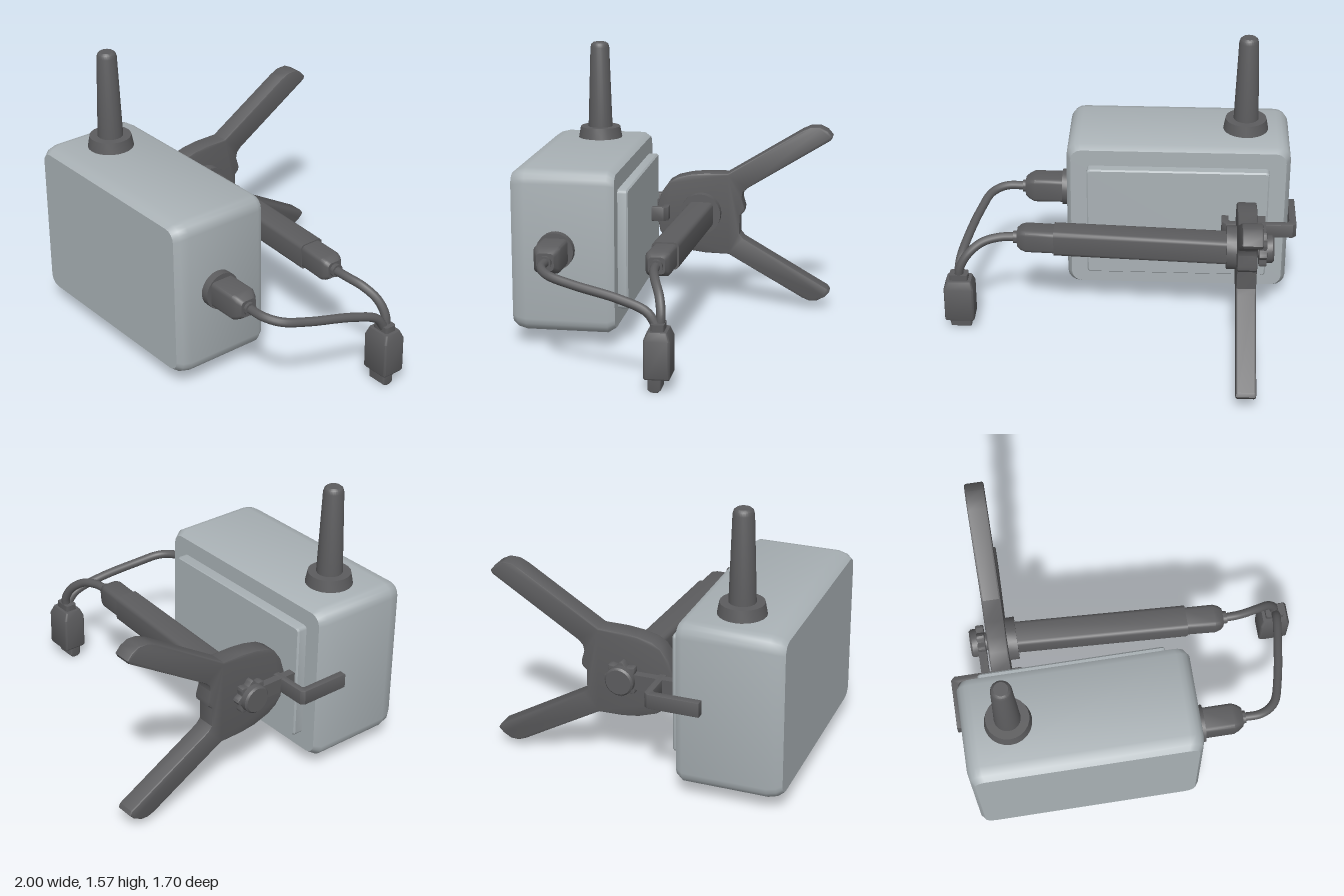
import * as THREE from 'three';
import { toCreasedNormals } from 'three/addons/utils/BufferGeometryUtils.js';

const shell = new THREE.MeshStandardMaterial({ color: 0xa9b1b5 });
shell.name = 'light grey shell';
const rubber = new THREE.MeshStandardMaterial({ color: 0x5c5c5e });
rubber.name = 'dark grey rubber';

// Rounded rectangle outline, counter-clockwise, as [a, b] pairs
function roundRect(ha, hb, r, seg) {
  const pts = [];
  [[1, 1], [-1, 1], [-1, -1], [1, -1]].forEach(([sa, sb], k) => {
    for (let i = 0; i <= seg; i++) {
      const t = (k + i / seg) * Math.PI / 2;
      pts.push([sa * (ha - r) + r * Math.cos(t), sb * (hb - r) + r * Math.sin(t)]);
    }
  });
  return pts;
}

// Loft rounded rectangles along an axis: 'x' (a=y, b=z), 'y' (a=z, b=x) or 'z' (a=x, b=y).
// Each section is [position, centreA, centreB, halfA, halfB, radius].
function loft(axis, sections, seg = 3, crease = 0.6) {
  const place = { x: (a, b, c) => [c, a, b], y: (a, b, c) => [b, c, a], z: (a, b, c) => [a, b, c] }[axis];
  const pos = [], index = [], n = 4 * (seg + 1), last = sections.length - 1;
  for (const [c, ca, cb, ha, hb, r] of sections)
    for (const [a, b] of roundRect(ha, hb, r, seg)) pos.push(...place(ca + a, cb + b, c));
  for (let i = 0; i < last; i++)
    for (let j = 0; j < n; j++) {
      const p = i * n + j, q = i * n + (j + 1) % n;
      index.push(p, q, q + n, p, q + n, p + n);
    }
  for (let j = 1; j < n - 1; j++) {
    index.push(0, j + 1, j);
    index.push(last * n, last * n + j, last * n + j + 1);
  }
  const g = new THREE.BufferGeometry();
  g.setAttribute('position', new THREE.Float32BufferAttribute(pos, 3));
  g.setIndex(index);
  return toCreasedNormals(g, crease);
}

// Lathe profile of [radius, height] pairs around y
const lathe = (profile) =>
  toCreasedNormals(new THREE.LatheGeometry(profile.map(([r, y]) => new THREE.Vector2(r, y)), 24), 0.6);

const extrude = (pts, depth, bevel) =>
  toCreasedNormals(new THREE.ExtrudeGeometry(new THREE.Shape(pts.map(([x, y]) => new THREE.Vector2(x, y))), {
    depth: depth - 2 * bevel, bevelEnabled: bevel > 0, bevelSize: bevel,
    bevelThickness: bevel, bevelOffset: -bevel, bevelSegments: 2,
  }).translate(0, 0, bevel), 0.6);

export function createModel() {
  const model = new THREE.Group();
  const add = (name, geometry, material = rubber, x = 0, y = 0, z = 0) => {
    const mesh = new THREE.Mesh(geometry, material);
    mesh.name = name;
    mesh.position.set(x, y, z);
    model.add(mesh);
    return mesh;
  };

  // Main case with softened front and back edges, and the plate on its back
  add('caseBody', loft('z', [
    [0.27, -0.32, 0.54, 0.615, 0.435, 0.06],
    [0.31, -0.32, 0.54, 0.64, 0.46, 0.075],
    [0.77, -0.32, 0.54, 0.64, 0.46, 0.075],
    [0.82, -0.32, 0.54, 0.63, 0.448, 0.07],
    [0.85, -0.32, 0.54, 0.608, 0.428, 0.06],
  ], 4, 0.75), shell);
  add('backPlate', loft('z', [
    [0.213, -0.32, 0.54, 0.512, 0.332, 0.015],
    [0.222, -0.32, 0.54, 0.52, 0.34, 0.02],
    [0.275, -0.32, 0.54, 0.52, 0.34, 0.02],
  ]), shell);

  // Antenna with collar
  add('antenna', lathe([
    [0, 0], [0.13, 0], [0.118, 0.065], [0.072, 0.065], [0.056, 0.54],
    [0.05, 0.56], [0.038, 0.57], [0, 0.57],
  ]), rubber, -0.705, 1, 0.545);

  // Clamp jaw with two handles, drawn as [-z, y]
  const jaw = [
    [0.232, 0.806], [0.1, 0.805], [0.01, 0.795], [-0.07, 0.775], [-0.12, 0.745], [-0.165, 0.68],
    [-0.19, 0.6], [-0.192, 0.53], [-0.175, 0.44], [-0.14, 0.395], [-0.09, 0.36], [0.01, 0.327],
    [0.1, 0.315], [0.24, 0.312], [0.69, 0.058], [0.73, 0.043], [0.775, 0.045], [0.82, 0.07],
    [0.848, 0.1], [0.835, 0.122], [0.33, 0.412], [0.307, 0.44], [0.307, 0.55], [0.332, 0.575],
    [0.335, 0.6], [0.318, 0.66], [0.325, 0.695], [0.35, 0.72], [0.84, 1.025], [0.85, 1.045],
    [0.82, 1.08], [0.775, 1.102], [0.72, 1.1], [0.67, 1.077],
  ];
  add('clampJaw', extrude(jaw, 0.11, 0.01).rotateY(Math.PI / 2), rubber, -0.765);

  // Pivot: flange on one side, scalloped knob on the other
  const disc = (r, w) => toCreasedNormals(new THREE.CylinderGeometry(r, r, w, 24).rotateZ(Math.PI / 2), 0.6);
  add('pivotFlange', disc(0.122, 0.06), rubber, -0.63, 0.565, -0.075);
  add('knobShaft', disc(0.05, 0.04), rubber, -0.77, 0.565, -0.08);
  const lobes = [];
  for (let i = 0; i < 48; i++) {
    const t = i / 48 * Math.PI * 2, r = 0.09 + 0.012 * Math.cos(8 * t);
    lobes.push([r * Math.cos(t), r * Math.sin(t)]);
  }
  add('knobGrip', extrude(lobes, 0.045, 0.005).rotateY(Math.PI / 2), rubber, -0.825, 0.565, -0.08);
  add('knobCap', lathe([[0, 0], [0.08, 0], [0.08, 0.035], [0.07, 0.045], [0, 0.045]])
    .rotateZ(Math.PI / 2), rubber, -0.82, 0.565, -0.08);

  // Flat hook wrapping the case edge, drawn as [x, -z], and its link to the knob
  const hook = [
    [-1, -0.42], [-1, -0.135], [-0.98, -0.115], [-0.6, -0.115], [-0.575, -0.14], [-0.575, -0.225],
    [-0.615, -0.225], [-0.615, -0.165], [-0.625, -0.152], [-0.95, -0.152], [-0.96, -0.165], [-0.96, -0.42],
  ];
  add('hookBand', extrude(hook, 0.084, 0.004).rotateX(-Math.PI / 2), rubber, 0, 0.52, 0);
  add('hookLink', new THREE.BoxGeometry(0.045, 0.084, 0.27), rubber, -0.803, 0.562, 0.085);

  // Arm leading from the pivot to its cable sleeve
  const y = 0.565;
  add('arm', loft('x', [
    [-0.61, y, -0.078, 0.075, 0.075, 0.025],
    [0.37, y, -0.025, 0.075, 0.075, 0.025],
  ]));
  add('armSleeve', loft('x', [
    [0.365, y, -0.024, 0.068, 0.066, 0.025],
    [0.53, y, -0.014, 0.068, 0.068, 0.025],
    [0.56, y, -0.012, 0.06, 0.06, 0.025],
    [0.58, y, -0.012, 0.046, 0.046, 0.022],
  ]));

  // Socket on the side of the case
  add('socketFlange', disc(0.105, 0.05), rubber, 0.34, 0.56, 0.59);
  add('socketSleeve', loft('x', [
    [0.36, 0.56, 0.59, 0.075, 0.075, 0.025],
    [0.53, 0.56, 0.59, 0.075, 0.075, 0.025],
    [0.56, 0.56, 0.59, 0.064, 0.064, 0.025],
    [0.585, 0.56, 0.59, 0.048, 0.048, 0.022],
  ]));

  // Cables and their collars
  const cable = (name, pts) => {
    const curve = new THREE.CatmullRomCurve3(pts.map((p) => new THREE.Vector3(...p)));
    add(name, new THREE.TubeGeometry(curve, 40, 0.025, 12));
  };
  add('socketCollar', disc(0.036, 0.03), rubber, 0.588, 0.56, 0.59);
  add('armCollar', disc(0.036, 0.03), rubber, 0.588, y, -0.012);
  cable('socketCable', [
    [0.58, 0.56, 0.59], [0.7, 0.56, 0.585], [0.78, 0.545, 0.53], [0.83, 0.515, 0.39],
    [0.885, 0.465, 0.13], [0.912, 0.41, -0.02], [0.92, 0.33, -0.075],
  ]);
  cable('armCable', [
    [0.58, 0.565, -0.01], [0.68, 0.562, -0.015], [0.78, 0.54, -0.04], [0.86, 0.48, -0.075],
    [0.905, 0.4, -0.09], [0.915, 0.33, -0.085],
  ]);

  // Plug hanging from both cables
  const px = 0.914, pz = -0.08;
  add('plugNeck', loft('y', [
    [0.31, pz, px, 0.035, 0.052, 0.012], [0.36, pz, px, 0.035, 0.052, 0.012],
  ]));
  add('plugBody', loft('y', [
    [0.075, pz, px, 0.066, 0.08, 0.012], [0.083, pz, px, 0.07, 0.085, 0.014],
    [0.28, pz, px, 0.07, 0.085, 0.014], [0.325, pz, px, 0.052, 0.07, 0.014],
  ]));
  add('plugTip', loft('y', [
    [0, -0.065, px, 0.02, 0.058, 0.008], [0.012, -0.065, px, 0.034, 0.06, 0.01],
    [0.08, -0.065, px, 0.036, 0.06, 0.01],
  ]));

  return model;
}
